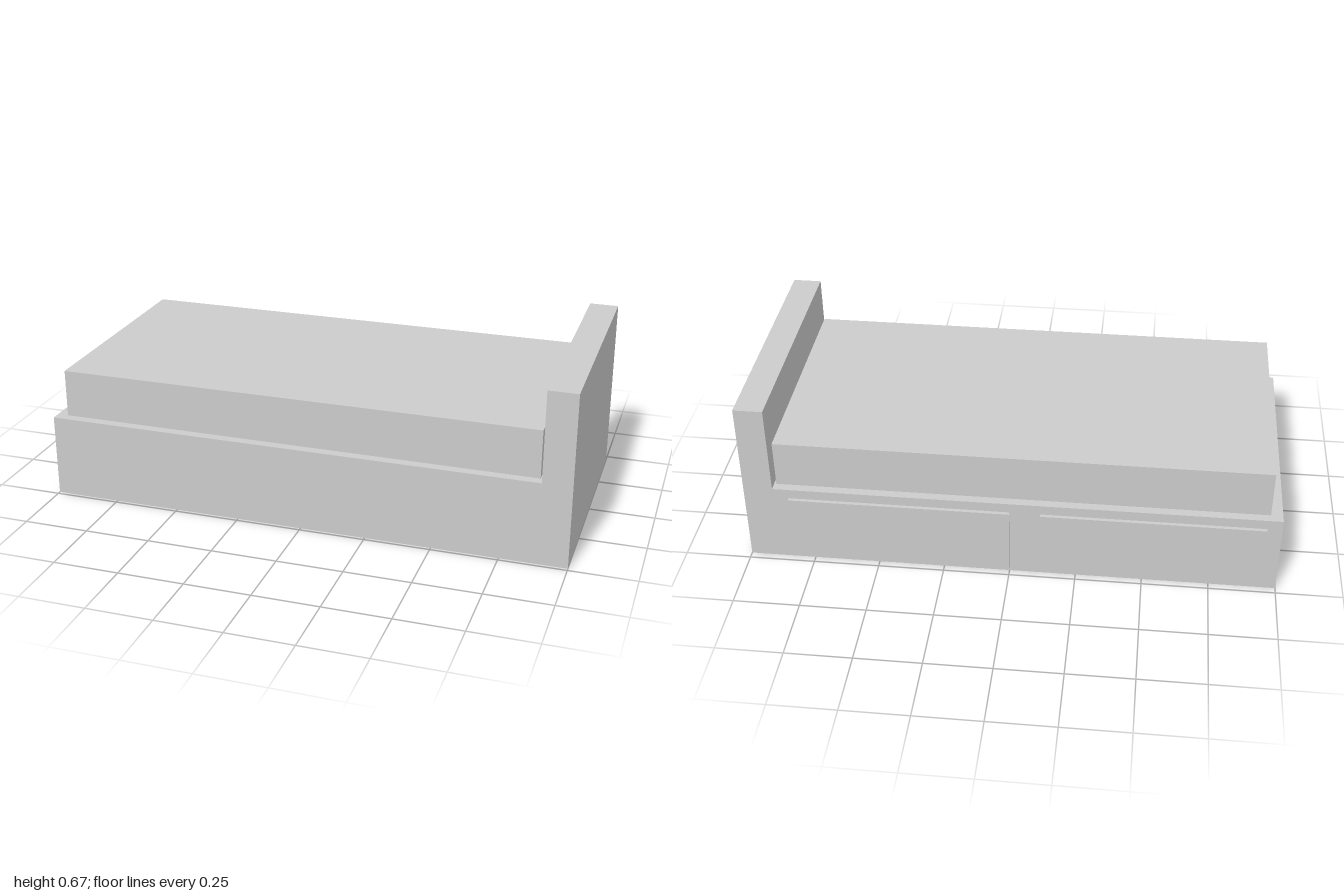
import * as THREE from 'three';

const material = new THREE.MeshStandardMaterial({ color: 0xcccccc });

// Box given by its minimum and maximum corners
function box(name, [x0, y0, z0], [x1, y1, z1]) {
  const mesh = new THREE.Mesh(new THREE.BoxGeometry(x1 - x0, y1 - y0, z1 - z0), material);
  mesh.name = name;
  mesh.position.set((x0 + x1) / 2, (y0 + y1) / 2, (z0 + z1) / 2);
  return mesh;
}

export function createModel() {
  const bed = new THREE.Group();
  bed.name = 'storageBed';
  const back = -0.473, front = 0.487;

  // Base and headboard share one L-shaped side profile
  const profile = new THREE.Shape([
    [-1, 0], [1, 0], [1, 0.666], [0.89, 0.666], [0.89, 0.318], [-1, 0.318],
  ].map(([x, y]) => new THREE.Vector2(x, y)));
  const frame = new THREE.Mesh(
    new THREE.ExtrudeGeometry(profile, { depth: front - back, bevelEnabled: false }), material);
  frame.name = 'frameWithHeadboard';
  frame.position.z = back;
  bed.add(frame);

  // Mattress, inset from the frame on every side
  bed.add(box('mattress', [-0.955, 0.321, -0.443], [0.88, 0.504, 0.456]));

  // Two drawer fronts standing proud of the back side
  [['leftDrawer', 0], ['rightDrawer', -0.945]].forEach(([name, x]) =>
    bed.add(box(name, [x, 0.022, -0.487], [x + 0.83, 0.28, back])));

  return bed;
}
